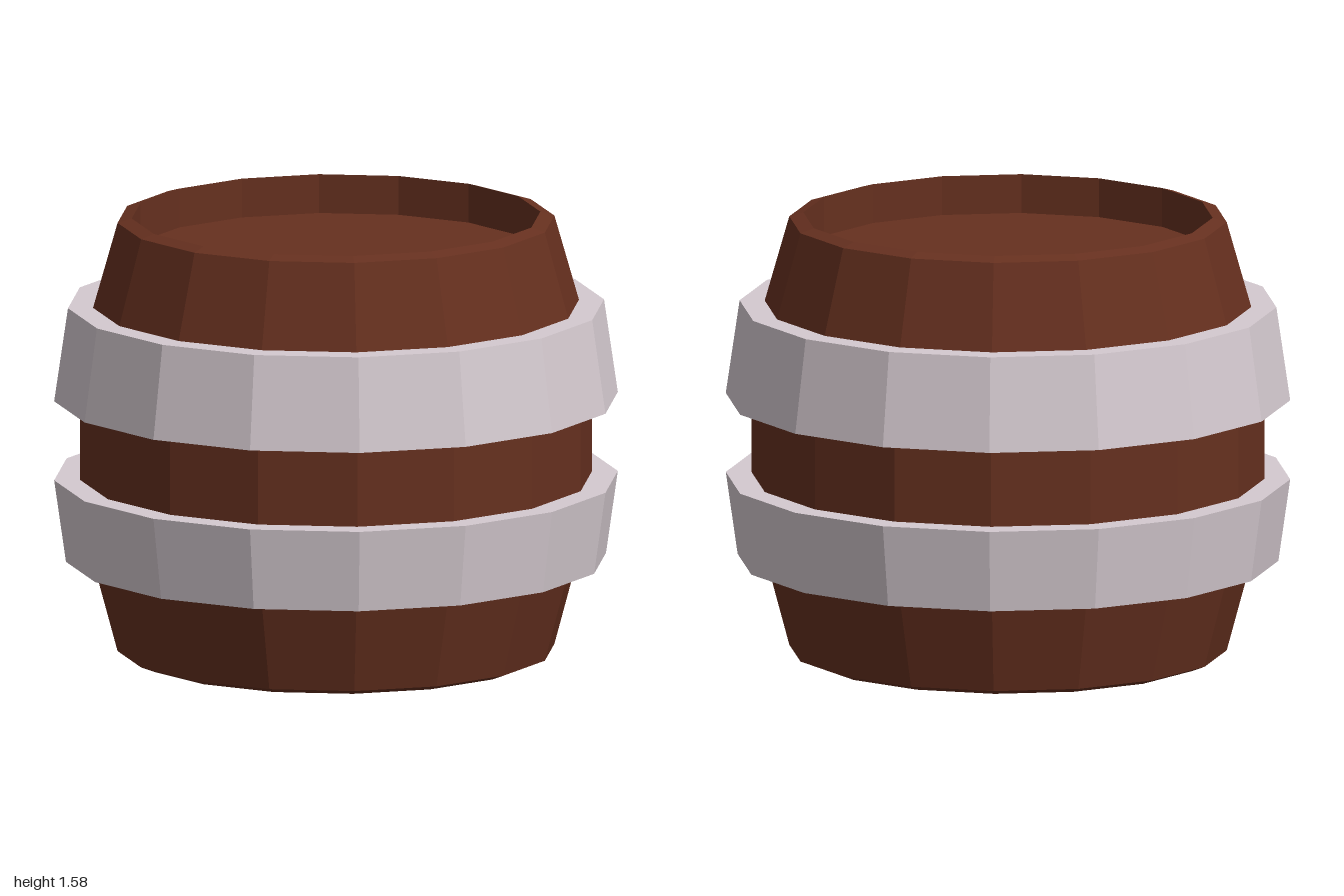
import * as THREE from 'three';

const SIDES = 16;
const wood = new THREE.MeshStandardMaterial({ color: 0x66301f, flatShading: true });
const metal = new THREE.MeshStandardMaterial({ color: 0xd5cad0, flatShading: true });

// Faceted turned part from [radius, height] pairs, listed from the bottom up
function turned(name, profile, material) {
  const points = profile.map(([r, y]) => new THREE.Vector2(r, y));
  const mesh = new THREE.Mesh(new THREE.LatheGeometry(points, SIDES), material);
  mesh.name = name;
  return mesh;
}

export function createModel() {
  const barrel = new THREE.Group();
  barrel.name = 'barrel';

  // Bulging body with bevelled rims and a recessed head at each end
  barrel.add(turned('barrelBody', [
    [0, 0.07], [0.725, 0.07], [0.725, 0],
    [0.775, 0.02], [0.862, 0.345], [0.908, 0.64],
    [0.908, 0.925], [0.862, 1.26], [0.775, 1.565],
    [0.725, 1.58], [0.725, 1.44], [0, 1.44],
  ], wood));

  // Two thick hoops, each widening towards the middle of the barrel
  const hoops = [
    ['lowerHoop', 0.345, 0.958, 0.64, 1.0],
    ['upperHoop', 0.925, 1.0, 1.26, 0.951],
  ];
  for (const [name, y0, r0, y1, r1] of hoops) {
    barrel.add(turned(name, [[0.84, y0], [r0, y0], [r1, y1], [0.84, y1]], metal));
  }
  return barrel;
}
